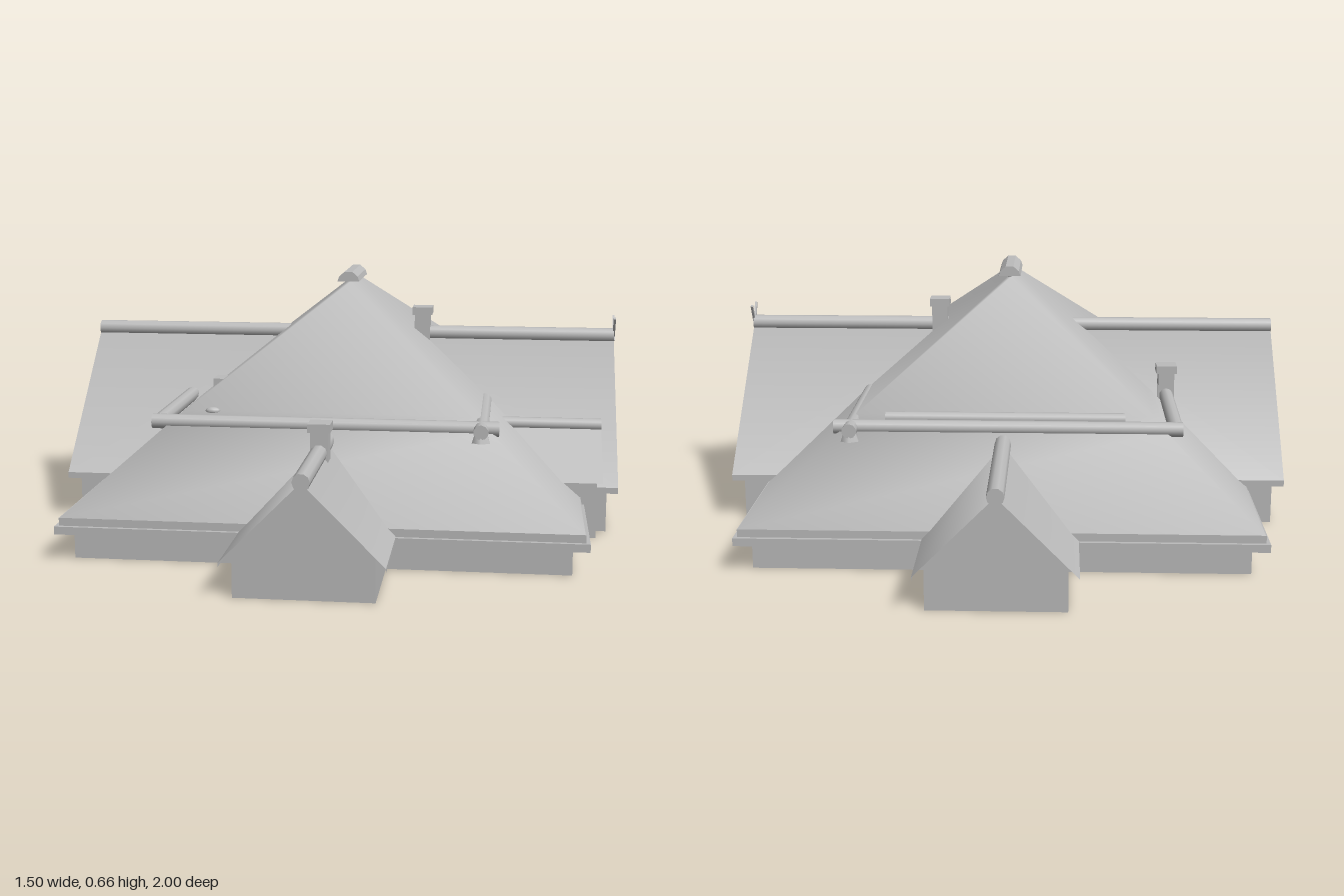
import * as THREE from 'three';
import { mergeVertices } from 'three/addons/utils/BufferGeometryUtils.js';

const grey = new THREE.MeshStandardMaterial({ color: 0xbcbcbc, side: THREE.DoubleSide });
grey.name = 'stone grey';

function add(parent, name, geometry, x = 0, y = 0, z = 0) {
  const mesh = new THREE.Mesh(geometry, grey);
  mesh.name = name;
  mesh.position.set(x, y, z);
  parent.add(mesh);
  return mesh;
}

// Faces from convex polygons given as lists of corner points, flat or smoothly shaded
function polygons(list, smooth = false) {
  const pos = [];
  for (const p of list)
    for (let i = 1; i < p.length - 1; i++) pos.push(...p[0], ...p[i], ...p[i + 1]);
  let g = new THREE.BufferGeometry();
  g.setAttribute('position', new THREE.Float32BufferAttribute(pos, 3));
  if (smooth) g = mergeVertices(g);
  g.computeVertexNormals();
  return g;
}

// Rounded ridge tile running between two points
function bar(parent, name, a, b, r = 0.019) {
  const A = new THREE.Vector3(...a), B = new THREE.Vector3(...b);
  const d = B.clone().sub(A);
  const mesh = add(parent, name, new THREE.CylinderGeometry(r, r, d.length(), 10));
  mesh.position.copy(A).add(B).multiplyScalar(0.5);
  mesh.quaternion.setFromUnitVectors(new THREE.Vector3(0, 1, 0), d.normalize());
  return mesh;
}

// Chimney: shaft with a slightly wider cap
function chimney(parent, x, z, bottom, top) {
  const g = new THREE.Group();
  g.name = 'chimney';
  add(g, 'chimneyShaft', new THREE.BoxGeometry(0.044, top - bottom, 0.044), x, (top + bottom) / 2, z);
  add(g, 'chimneyCap', new THREE.BoxGeometry(0.056, 0.022, 0.056), x, top - 0.011, z);
  parent.add(g);
}

// Gabled wing along local +x, its roof cut to the valley of the main roof
function wing(parent, name, angle, o) {
  const g = new THREE.Group();
  g.name = name;
  g.rotation.y = angle;
  const slopes = [], fascias = [];
  for (const s of [1, -1]) {
    const z = s * o.half, low = o.eaveY - o.fascia;
    const ridgeIn = [o.ridgeIn, o.ridgeY, 0], ridgeEnd = [o.end, o.ridgeY, 0];
    const eaveIn = [o.eaveIn, o.eaveY, z], eaveEnd = [o.end, o.eaveY, z];
    const fascia = [[o.eaveIn, low, z], [o.end, low, z], eaveEnd, eaveIn];
    slopes.push(s > 0 ? [ridgeIn, eaveIn, eaveEnd, ridgeEnd] : [ridgeIn, ridgeEnd, eaveEnd, eaveIn]);
    fascias.push(s > 0 ? fascia : fascia.reverse());
  }
  add(g, 'wingRoof', polygons(slopes, true));
  add(g, 'wingFascia', polygons(fascias));
  const e = o.end - 0.028, w = o.wall, h = o.wallY;
  add(g, 'wingWalls', polygons([
    [[e, 0, w], [e, 0, -w], [e, h, -w], [e, o.ridgeY - 0.003, 0], [e, h, w]],
    [[o.wallIn, 0, w], [e, 0, w], [e, h, w], [o.wallIn, h, w]],
    [[e, 0, -w], [o.wallIn, 0, -w], [o.wallIn, h, -w], [e, h, -w]],
  ]));
  bar(g, 'wingRidge', [o.ridgeIn, o.ridgeY, 0], [o.end, o.ridgeY, 0], 0.021);
  parent.add(g);
}

// Rectangular eave board frame
function eaveFrame(hx, hz, width, height) {
  const rect = (C, x, z) => {
    const s = new C();
    s.moveTo(-x, -z).lineTo(x, -z).lineTo(x, z).lineTo(-x, z).closePath();
    return s;
  };
  const shape = rect(THREE.Shape, hx, hz);
  shape.holes.push(rect(THREE.Path, hx - width, hz - width));
  return new THREE.ExtrudeGeometry(shape, { depth: height, bevelEnabled: false }).rotateX(-Math.PI / 2);
}

export function createModel() {
  const model = new THREE.Group();
  model.name = 'house';
  const body = new THREE.Group();
  body.name = 'mainBody';
  body.position.x = -0.004;
  model.add(body);

  // Faces joining stacked rectangular rings: half x, height, half z
  const ring = ([x, y, z]) => [[x, y, z], [x, y, -z], [-x, y, -z], [-x, y, z]];
  const joinRings = (levels) => {
    const faces = [];
    for (let k = 0; k < levels.length - 1; k++) {
      const a = ring(levels[k]), b = ring(levels[k + 1]);
      for (let i = 0; i < 4; i++) {
        const j = (i + 1) % 4;
        faces.push([a[i], a[j], b[j], b[i]]);
      }
    }
    return faces;
  };

  // Main hipped roof with its eaves
  const roof = [[0.645, 0.11, 0.747], [0.41, 0.315, 0.55], [0.385, 0.335, 0.48], [0.005, 0.635, 0.1]];
  add(body, 'mainRoof', polygons(joinRings(roof), true));
  add(body, 'lowerEave', eaveFrame(0.657, 0.757, 0.04, 0.02), 0, 0.07, 0);
  add(body, 'upperEave', eaveFrame(0.647, 0.747, 0.03, 0.02), 0, 0.09, 0);

  // Inner room: walls and ceiling
  const room = [0.53, 0.175, 0.57];
  add(body, 'roomWalls', polygons(joinRings([[room[0], 0.02, room[2]], room])));
  add(body, 'ceiling', polygons([ring(room).reverse()]));

  // Corner walls
  for (const sx of [1, -1]) for (const sz of [1, -1]) {
    const x = 0.617 * sx, z = 0.72 * sz, h = 0.075;
    const xi = 0.165 * sx, zi = 0.335 * sz;
    const a = [[xi, 0, z], [x, 0, z], [x, h, z], [xi, h, z]];
    const b = [[x, 0, z], [x, 0, zi], [x, h, zi], [x, h, z]];
    if (sx * sz < 0) { a.reverse(); b.reverse(); }
    add(body, 'cornerWalls', polygons([a, b]));
  }

  // Four wings
  const side = { end: 0.747, ridgeIn: 0.18, eaveIn: 0.62, ridgeY: 0.48, eaveY: 0.127, fascia: 0.016, half: 0.36, wall: 0.333, wallY: 0.151, wallIn: 0.6 };
  const front = { end: 1, ridgeIn: 0.565, eaveIn: 0.75, ridgeY: 0.284, eaveY: 0.091, fascia: 0.01, half: 0.192, wall: 0.166, wallY: 0.115, wallIn: 0.7 };
  wing(body, 'leftWing', 0, side);
  wing(body, 'rightWing', Math.PI, side);
  wing(body, 'frontWing', -Math.PI / 2, front);
  wing(body, 'backWing', Math.PI / 2, front);

  // Ridge cap on the summit
  const cap = new THREE.Shape();
  cap.moveTo(-0.031, 0).lineTo(0.031, 0).lineTo(0.026, 0.014).lineTo(0.011, 0.027)
    .lineTo(-0.011, 0.027).lineTo(-0.026, 0.014).closePath();
  const capGeo = new THREE.ExtrudeGeometry(cap, { depth: 0.206, bevelEnabled: false }).translate(0, 0, -0.103);
  add(body, 'summitCap', capGeo, 0, 0.636, 0);

  // Ridge tiles around the break of the roof
  const y = 0.317;
  for (const s of [1, -1]) {
    const z = 0.54 * s;
    bar(model, 'longRidge', [-0.46, y, z], [0.43, y, z]);
    bar(model, 'rightRidge', [-0.443, y, z], [-0.443, y, 0.16 * s]);
    bar(model, 'leftRidge', [0.385, y, 0.588 * s], [0.385, y, 0.16 * s]);
    add(model, 'cornerKnot', new THREE.CylinderGeometry(0.008, 0.026, 0.045, 6), 0.385, 0.311, 0.568 * s);
  }
  bar(model, 'backRail', [-0.315, 0.33, -0.495], [0.302, 0.33, -0.495], 0.016);

  // Chimneys and the roof vents
  chimney(model, 0.2, 0, 0.44, 0.556);
  chimney(model, -0.003, 0.692, 0.26, 0.357);
  chimney(model, -0.443, -0.16, 0.28, 0.4);
  add(model, 'roofVent', new THREE.BoxGeometry(0.045, 0.04, 0.06), -0.322, 0.373, 0.305);
  const vent = add(model, 'smallVent', new THREE.SphereGeometry(0.02, 10, 6), -0.315, 0.335, 0.482);
  vent.scale.set(1, 0.5, 0.6);

  // Crossed boards on the left gable
  for (const s of [1, -1]) {
    const board = add(model, 'gableHorn', new THREE.BoxGeometry(0.006, 0.075, 0.008), 0.743, 0.5, 0.012 * s);
    board.rotation.x = 0.5 * s;
  }

  // Small side dormer between the left wing and the front corner
  const dormer = new THREE.Group();
  dormer.name = 'dormer';
  add(dormer, 'dormerRoof', polygons([[[0.44, 0.272, 0.255], [0.59, 0.15, 0.41], [0.7, 0.15, 0.41], [0.7, 0.272, 0.255]]]));
  add(dormer, 'dormerWalls', polygons([
    [[0.685, 0, 0.4], [0.685, 0, 0.25], [0.685, 0.27, 0.255], [0.685, 0.157, 0.4]],
    [[0.6, 0, 0.4], [0.685, 0, 0.4], [0.685, 0.157, 0.4], [0.6, 0.157, 0.4]],
  ]));
  bar(dormer, 'dormerRidge', [0.425, 0.273, 0.252], [0.7, 0.273, 0.252], 0.017);
  model.add(dormer);
  return model;
}
